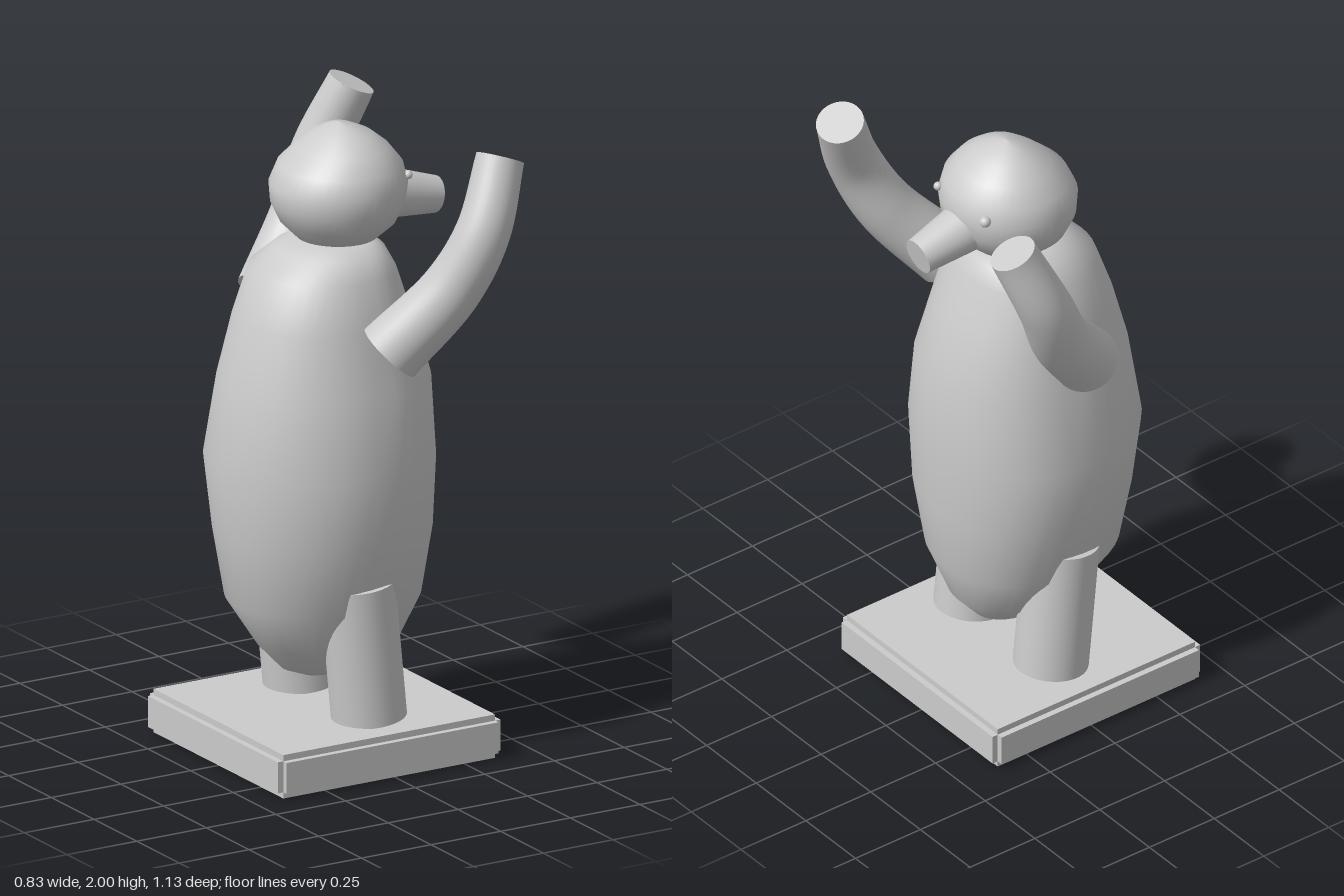
import * as THREE from 'three';

const material = new THREE.MeshStandardMaterial({ color: 0xcccccc });

function addMesh(parent, name, geometry, position = [0, 0, 0]) {
  const mesh = new THREE.Mesh(geometry, material);
  mesh.name = name;
  mesh.position.set(...position);
  parent.add(mesh);
  return mesh;
}

// Smooth skin over oval rings, listed upwards as [y, back x, front x, half depth].
// frontPower below 1 makes the front half fuller.
function loft(rings, frontPower = 1, sides = 40) {
  const positions = [], index = [];
  for (const [y, x0, x1, rz] of rings) {
    for (let j = 0; j < sides; j++) {
      const a = (j / sides) * Math.PI * 2;
      const c = Math.cos(a);
      const cx = c > 0 ? Math.pow(c, frontPower) : c;
      positions.push((x0 + x1) / 2 + ((x1 - x0) / 2) * cx, y, rz * Math.sin(a));
    }
  }
  for (let i = 0; i < rings.length - 1; i++) {
    for (let j = 0; j < sides; j++) {
      const k = (j + 1) % sides;
      const a = i * sides + j, b = i * sides + k;
      index.push(a, a + sides, b, b, a + sides, b + sides);
    }
  }
  // close both ends with a fan
  const last = (rings.length - 1) * sides;
  for (const [row, up] of [[0, false], [last, true]]) {
    const [y, x0, x1] = rings[row / sides];
    const centre = positions.length / 3;
    positions.push((x0 + x1) / 2, y, 0);
    for (let j = 0; j < sides; j++) {
      const a = row + j, b = row + ((j + 1) % sides);
      if (up) index.push(centre, b, a);
      else index.push(centre, a, b);
    }
  }
  const geometry = new THREE.BufferGeometry();
  geometry.setAttribute('position', new THREE.Float32BufferAttribute(positions, 3));
  geometry.setIndex(index);
  geometry.computeVertexNormals();
  return geometry;
}

// Cylinder or cone frustum running between two points
function addFrustum(parent, name, from, to, r0, r1) {
  const a = new THREE.Vector3(...from), b = new THREE.Vector3(...to);
  const axis = b.clone().sub(a);
  const mesh = addMesh(parent, name, new THREE.CylinderGeometry(r1, r0, axis.length(), 32));
  mesh.position.copy(a).add(b).multiplyScalar(0.5);
  mesh.quaternion.setFromUnitVectors(new THREE.Vector3(0, 1, 0), axis.normalize());
}

// Bent, tapered arm with flat ends
function addArm(parent, side) {
  const arm = new THREE.Group();
  arm.name = 'arm';
  const path = new THREE.CatmullRomCurve3([
    [0, 1.36, 0.35], [0.165, 1.56, 0.44], [0.255, 1.74, 0.48], [0.345, 1.953, 0.435],
  ].map(([x, y, z]) => new THREE.Vector3(x, y, z * side)));
  const r0 = 0.105, r1 = 0.075, steps = 24, sides = 32;
  const tube = new THREE.TubeGeometry(path, steps, 1, sides);
  const p = tube.attributes.position, v = new THREE.Vector3();
  for (let i = 0; i <= steps; i++) {
    const centre = path.getPointAt(i / steps);
    const radius = r0 + (r1 - r0) * (i / steps);
    for (let j = 0; j <= sides; j++) {
      const n = i * (sides + 1) + j;
      v.fromBufferAttribute(p, n).sub(centre).multiplyScalar(radius).add(centre);
      p.setXYZ(n, v.x, v.y, v.z);
    }
  }
  addMesh(arm, 'armTube', tube);
  for (const [u, radius, sign] of [[0, r0, -1], [1, r1, 1]]) {
    const end = path.getPointAt(u);
    const cap = addMesh(arm, 'armEnd', new THREE.CircleGeometry(radius, sides), end.toArray());
    cap.lookAt(end.clone().addScaledVector(path.getTangentAt(u), sign));
  }
  parent.add(arm);
}

export function createModel() {
  const model = new THREE.Group();
  model.name = 'figureOnBase';

  // Plinth: square slab with stepped edges
  const plinth = new THREE.Group();
  plinth.name = 'plinth';
  model.add(plinth);
  for (const [w, h, d] of [[0.76, 0.14, 0.76], [0.8, 0.1, 0.76], [0.76, 0.1, 0.8]]) {
    addMesh(plinth, 'plinthSlab', new THREE.BoxGeometry(w, h, d), [-0.02, 0.07, 0]);
  }

  // Body: barrel narrowing to the neck and the underside
  addMesh(model, 'body', loft([
    [0.24, -0.09, 0.09, 0.04],
    [0.27, -0.165, 0.15, 0.10],
    [0.35, -0.24, 0.22, 0.185],
    [0.5, -0.335, 0.275, 0.28],
    [0.72, -0.37, 0.305, 0.325],
    [0.95, -0.395, 0.31, 0.352],
    [1.2, -0.36, 0.305, 0.308],
    [1.4, -0.305, 0.24, 0.27],
    [1.55, -0.25, 0.19, 0.235],
    [1.61, -0.17, 0.16, 0.18],
    [1.64, -0.11, 0.12, 0.13],
  ], 0.8));

  // Head: slightly squared ball
  addMesh(model, 'head', loft([
    [1.61, -0.05, 0.1, 0.06],
    [1.64, -0.1, 0.15, 0.13],
    [1.69, -0.15, 0.205, 0.185],
    [1.75, -0.178, 0.235, 0.213],
    [1.81, -0.183, 0.243, 0.217],
    [1.87, -0.155, 0.228, 0.2],
    [1.925, -0.095, 0.185, 0.155],
    [1.965, -0.045, 0.135, 0.105],
    [1.99, 0, 0.08, 0.05],
    [2.0, 0.03, 0.04, 0.01],
  ]));

  // Snout and eyes on the +x side
  addFrustum(model, 'snout', [0.16, 1.752, 0], [0.376, 1.708, 0], 0.085, 0.058);
  for (const [z, r] of [[0.12, 0.014], [-0.118, 0.018]]) {
    addMesh(model, 'eye', new THREE.SphereGeometry(r, 16, 12), [0.208, 1.833, z]);
  }

  // Limbs on both sides
  for (const side of [1, -1]) {
    addArm(model, side);
    addFrustum(model, 'leg', [0.018, 0.145, side * 0.2], [-0.025, 0.585, side * 0.2], 0.117, 0.117);
  }
  return model;
}
